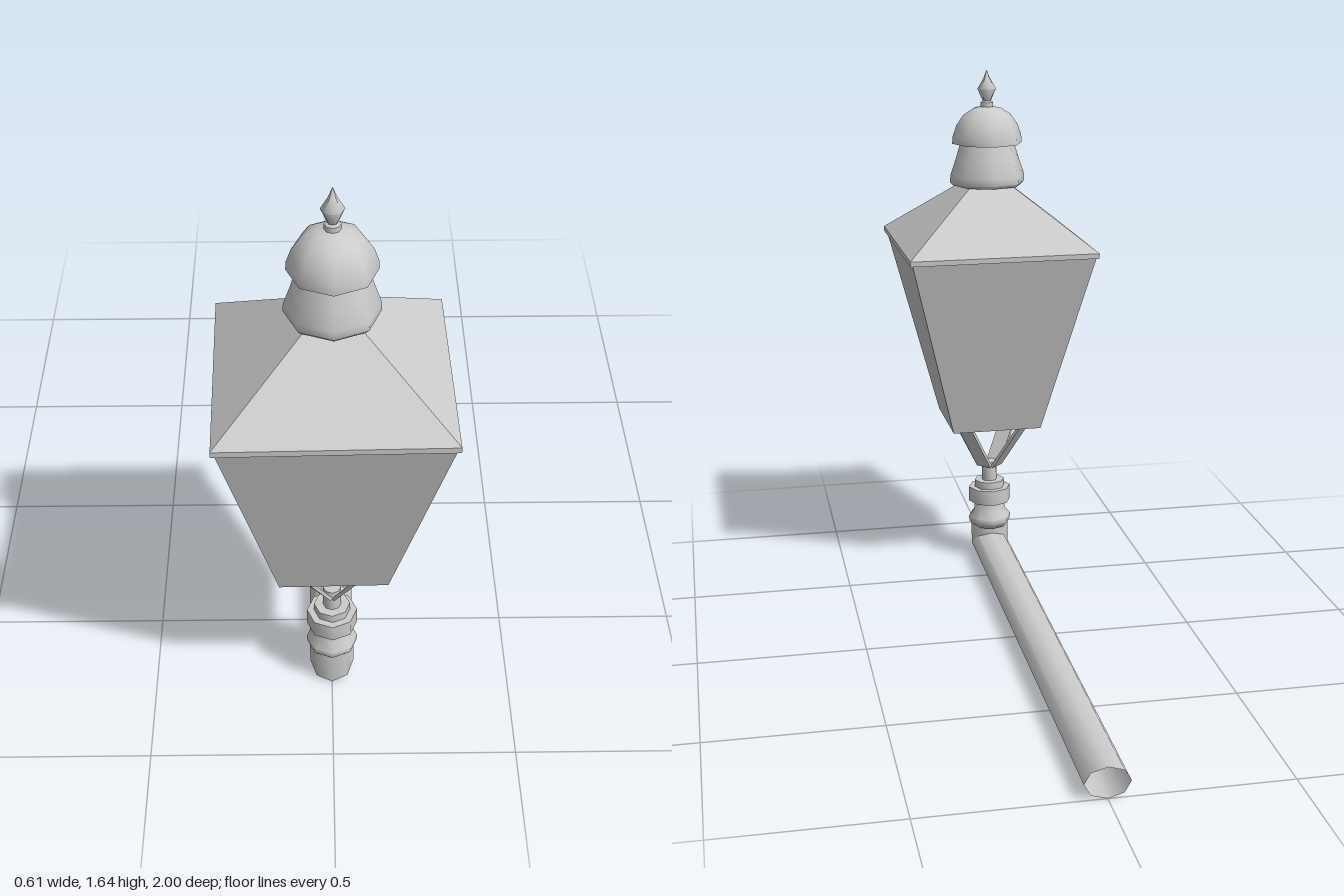
import * as THREE from 'three';
import { toCreasedNormals } from 'three/addons/utils/BufferGeometryUtils.js';

const smooth = new THREE.MeshStandardMaterial({ color: 0xcccccc, side: THREE.DoubleSide });
const flat = new THREE.MeshStandardMaterial({ color: 0xcccccc, flatShading: true });
const SIDES = 8;

function add(parent, name, geometry, material, y = 0) {
  const mesh = new THREE.Mesh(geometry, material);
  mesh.name = name;
  mesh.position.y = y;
  parent.add(mesh);
  return mesh;
}

// Eight-sided turned part from [radius, y] pairs, listed bottom to top
function turned(parent, name, profile) {
  const points = profile.map(([r, y]) => new THREE.Vector2(r, y));
  const geometry = toCreasedNormals(new THREE.LatheGeometry(points, SIDES), 0.9);
  return add(parent, name, geometry, smooth);
}

// Square frustum given by half widths at its bottom and top
function frustum(parent, name, y0, half0, y1, half1) {
  const geometry = new THREE.CylinderGeometry(half1 * Math.SQRT2, half0 * Math.SQRT2, y1 - y0, 4);
  geometry.rotateY(Math.PI / 4);
  return add(parent, name, geometry, flat, (y0 + y1) / 2);
}

// Oval pipe with a mitred corner: short upright, then a long run to the back
function pipeGeometry() {
  const rx = 0.062, r = 0.044, cz = 0.697;
  const rings = [
    (s) => [0.12, cz + r * s],
    (s) => [r - r * s, cz + r * s],
    (s) => [r - r * s, -1],
  ];
  const point = (i, j) => {
    const a = (j / SIDES) * Math.PI * 2;
    return [rx * Math.cos(a), ...rings[i](Math.sin(a))];
  };
  const positions = [];
  for (let i = 0; i < rings.length - 1; i++) {
    for (let j = 0; j < SIDES; j++) {
      const a = point(i, j), b = point(i, j + 1), c = point(i + 1, j), d = point(i + 1, j + 1);
      positions.push(...a, ...b, ...c, ...b, ...d, ...c);
    }
  }
  const geometry = new THREE.BufferGeometry();
  geometry.setAttribute('position', new THREE.Float32BufferAttribute(positions, 3));
  return toCreasedNormals(geometry, 1.0);
}

export function createModel() {
  const model = new THREE.Group();
  model.name = 'wallLantern';
  add(model, 'bracketPipe', pipeGeometry(), smooth);

  const lamp = new THREE.Group();
  lamp.name = 'lamp';
  lamp.position.z = 0.695;
  lamp.rotation.y = 0.017;
  model.add(lamp);

  // Turned collar and stem above the elbow
  turned(lamp, 'collar', [
    [0, 0.108], [0.055, 0.108], [0.07, 0.125], [0.071, 0.142], [0.053, 0.165], [0.05, 0.196],
    [0.07, 0.196], [0.07, 0.246], [0.05, 0.246], [0.05, 0.27], [0.025, 0.27], [0.025, 0.335], [0, 0.335],
  ]);

  // Four flat struts leaning out to the corners of the lantern
  const rise = 0.165, reach = 0.112;
  for (let k = 0; k < 4; k++) {
    const arm = new THREE.Group();
    arm.name = 'strutArm';
    arm.rotation.y = Math.PI / 4 + (k * Math.PI) / 2;
    const strut = add(arm, 'strut', new THREE.BoxGeometry(0.055, Math.hypot(rise, reach), 0.01), flat, 0.407);
    strut.position.z = 0.085;
    strut.rotation.x = Math.atan2(reach, rise);
    lamp.add(arm);
  }

  // Tapered lantern body, roof rim and hipped roof
  frustum(lamp, 'lanternBody', 0.485, 0.145, 1.08, 0.292);
  frustum(lamp, 'roofRim', 1.08, 0.3, 1.096, 0.3);
  frustum(lamp, 'roof', 1.096, 0.3, 1.285, 0.062);

  // Vent skirt, domed cap and finial
  turned(lamp, 'ventSkirt', [
    [0, 1.278], [0.113, 1.278], [0.122, 1.288], [0.121, 1.31], [0.104, 1.36], [0.087, 1.415],
  ]);
  turned(lamp, 'domeCap', [
    [0, 1.412], [0.114, 1.412], [0.112, 1.436], [0.1, 1.47], [0.077, 1.503], [0.045, 1.523], [0, 1.532],
  ]);
  turned(lamp, 'finial', [
    [0.021, 1.525], [0.021, 1.542], [0.013, 1.546], [0.03, 1.585], [0.011, 1.617], [0, 1.645],
  ]);
  return model;
}
